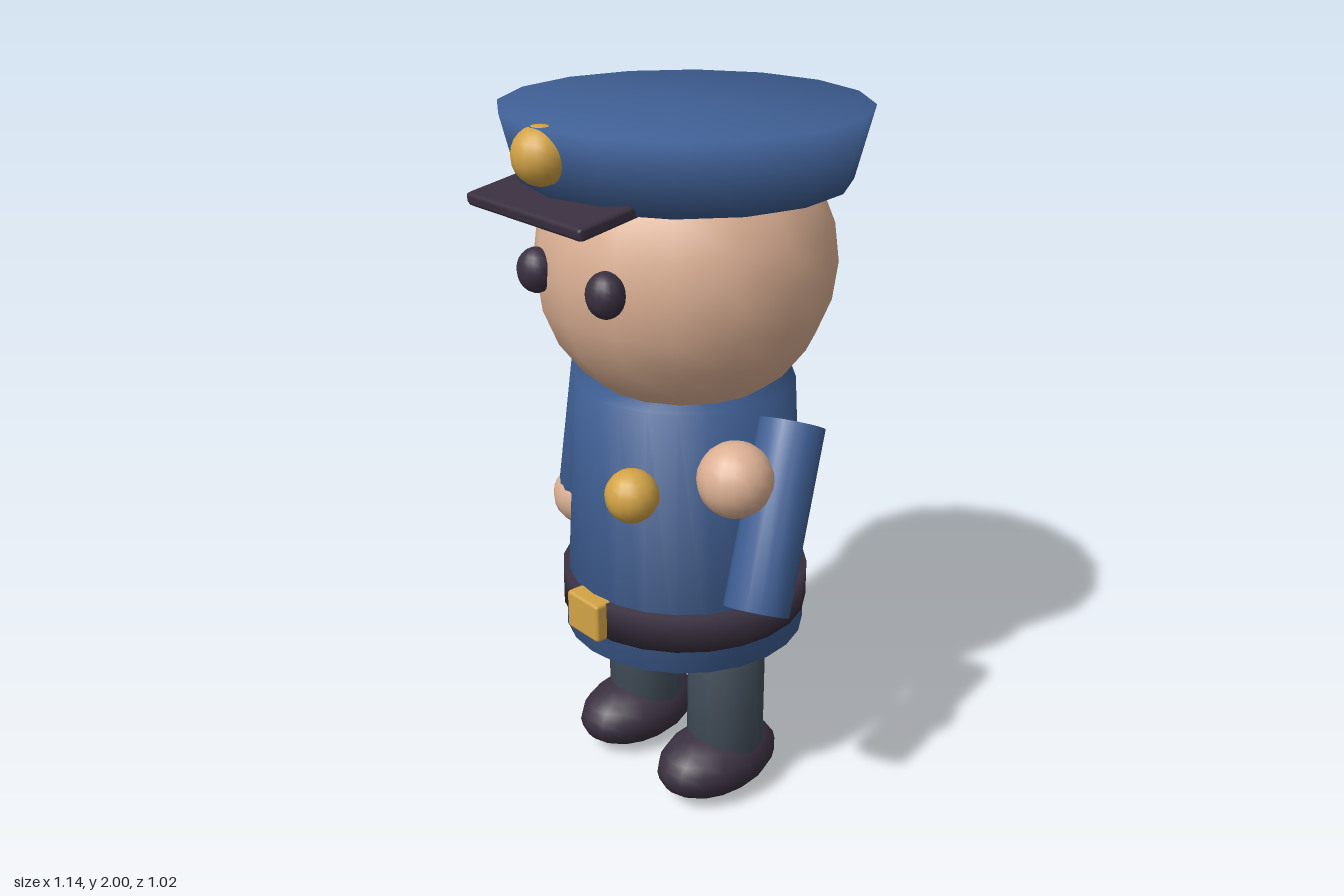
import * as THREE from 'three';
import { RoundedBoxGeometry } from 'three/addons/geometries/RoundedBoxGeometry.js';

const material = (name, color) => {
  const m = new THREE.MeshStandardMaterial({ color });
  m.name = name;
  return m;
};

export function createModel() {
  const blue = material('uniform blue', 0x3f5f94);
  const skin = material('skin', 0xdcb094);
  const dark = material('dark leather', 0x3a3040);
  const grey = material('trouser grey', 0x434f5b);
  const gold = material('gold', 0xd2a346);

  const model = new THREE.Group();
  model.name = 'officer';
  const Z = -0.025; // depth of the body axis

  const add = (name, geometry, mat, x, y, z) => {
    const mesh = new THREE.Mesh(geometry, mat);
    mesh.name = name;
    mesh.position.set(x, y, z);
    model.add(mesh);
    return mesh;
  };

  // Closed round drum whose normals blend softly over its rims
  const drum = (bottomR, topR, y0, y1, sides = 16) => new THREE.LatheGeometry([
    new THREE.Vector2(0, y0), new THREE.Vector2(bottomR, y0),
    new THREE.Vector2(topR, y1), new THREE.Vector2(0, y1),
  ], sides);

  const ball = (name, mat, x, y, z, rx, ry = rx, rz = rx) => {
    const mesh = add(name, new THREE.SphereGeometry(1, 16, 12), mat, x, y, z);
    mesh.scale.set(rx, ry, rz);
    return mesh;
  };

  // Sleeve running from shoulder to cuff
  const arm = (name, from, to, r) => {
    const a = new THREE.Vector3(...from);
    const d = new THREE.Vector3(...to).sub(a);
    const mesh = add(name, drum(r, r, 0, d.length()), blue, a.x, a.y, a.z);
    mesh.quaternion.setFromUnitVectors(new THREE.Vector3(0, 1, 0), d.normalize());
  };

  // Torso and belt
  add('jacket', drum(0.347, 0.305, 0.505, 1.255, 24), blue, 0, 0, Z);
  add('belt', drum(0.354, 0.354, 0.575, 0.683, 24), dark, 0, 0, Z);
  add('buckle', new RoundedBoxGeometry(0.135, 0.115, 0.06, 1, 0.01), gold, 0, 0.628, 0.325);
  ball('chestBadge', gold, 0.15, 1.035, 0.292, 0.073);

  // Head, eyes and cap
  ball('head', skin, 0, 1.583, Z, 0.408);
  add('cap', drum(0.438, 0.487, 1.805, 1.996), blue, 0, 0, Z);
  ball('capBadge', gold, 0, 1.926, 0.436, 0.074);
  const visor = add('visor', new RoundedBoxGeometry(0.47, 0.036, 0.25, 1, 0.012), dark, 0, 1.808, 0.38);
  visor.rotation.x = 0.17;

  // Legs, shoes and eyes in mirrored pairs
  for (const [side, s] of [['left', 1], ['right', -1]]) {
    add(side + 'Leg', drum(0.112, 0.112, 0.13, 0.56), grey, s * 0.182, 0, Z);
    ball(side + 'Shoe', dark, s * 0.182, 0.105, 0.006, 0.132, 0.103, 0.205);
    ball(side + 'Eye', dark, s * 0.143, 1.595, 0.36, 0.054, 0.06, 0.05);
  }

  // Left arm swung forward with raised hand, right arm hanging
  arm('leftArm', [0.385, 1.218, -0.06], [0.483, 0.777, 0.153], 0.088);
  ball('leftHand', skin, 0.475, 1.175, 0.228, 0.097);
  arm('rightArm', [-0.381, 1.18, Z], [-0.466, 0.738, Z], 0.084);
  ball('rightHand', skin, -0.474, 0.722, Z, 0.096);

  return model;
}
